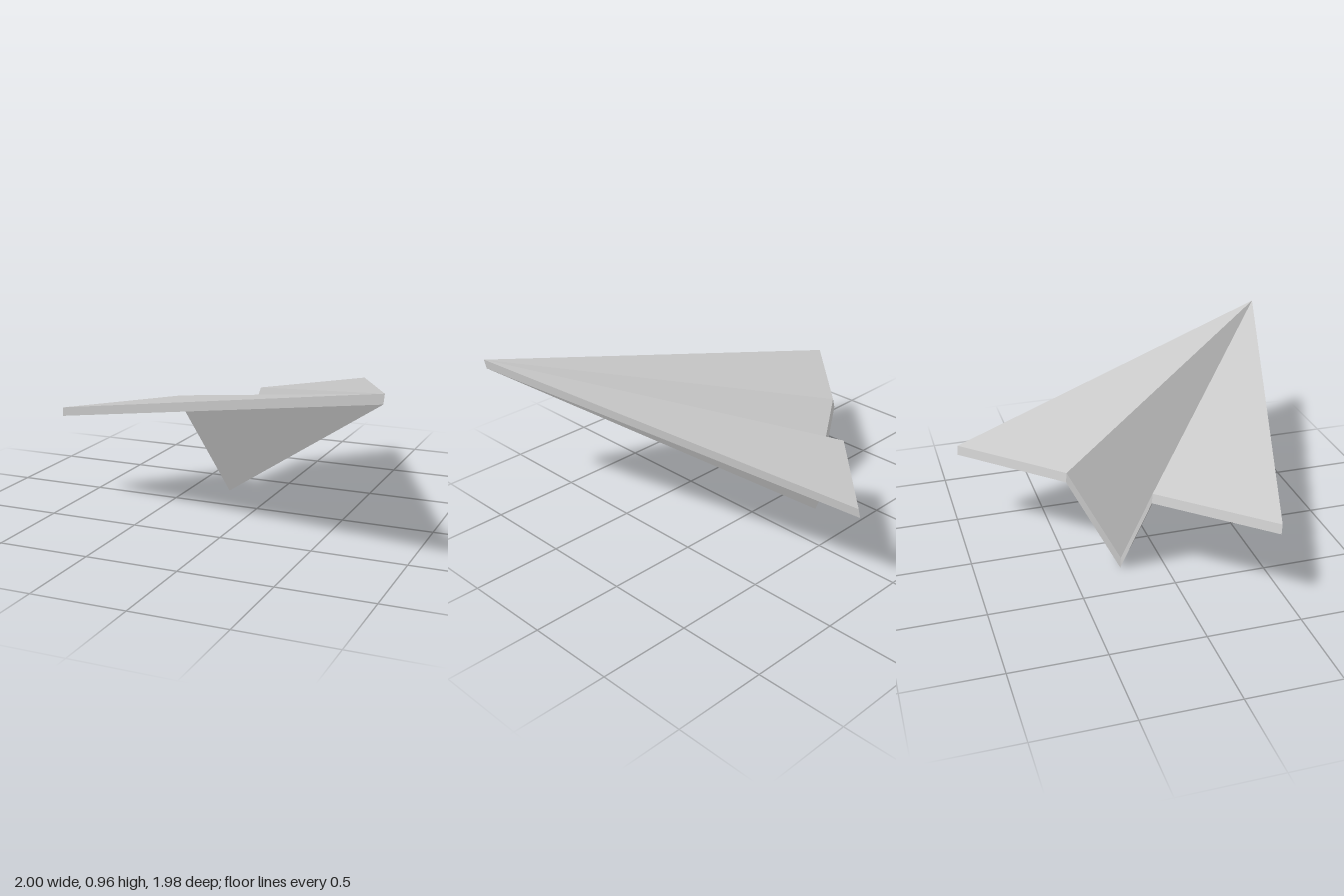
import * as THREE from 'three';

// Folded dart: nose and five rear points, wing tip to wing tip (upper surface)
const NOSE = [1, 0.96, 0.985];
const REAR = [
  [-0.993, 0.57, 0.37],
  [-0.522, 0.57, -0.134],
  [-0.264, 0.055, -0.232],
  [-0.18, 0.57, -0.495],
  [0.302, 0.57, -0.987],
];
const PANELS = ['rightWing', 'rightKeelSide', 'leftKeelSide', 'leftWing'];

// Matching point on the underside
const under = ([x, y, z]) => [x - 0.007, y - 0.05 - (y < 0.1 ? 0.005 : 0), z - 0.006];

// Edge strip between upper and lower surface; l and r as seen from outside
const wall = (l, r) => [under(l), under(r), r, under(l), r, l];

function createPanel(name, a, b, leadingEdge, material) {
  const corners = [
    NOSE, b, a, // upper face
    under(NOSE), under(a), under(b), // lower face
    ...wall(b, a), // trailing edge
    ...(leadingEdge ? wall(...leadingEdge) : []),
  ];
  const geometry = new THREE.BufferGeometry();
  geometry.setAttribute('position', new THREE.Float32BufferAttribute(corners.flat(), 3));
  geometry.computeVertexNormals();
  const mesh = new THREE.Mesh(geometry, material);
  mesh.name = name;
  return mesh;
}

export function createModel() {
  const group = new THREE.Group();
  group.name = 'paperPlane';
  const material = new THREE.MeshStandardMaterial({ color: 0xcccccc, flatShading: true });

  // Only the two wings have an exposed leading edge
  const leading = { 0: [REAR[0], NOSE], 3: [NOSE, REAR[4]] };
  PANELS.forEach((name, i) => {
    group.add(createPanel(name, REAR[i], REAR[i + 1], leading[i], material));
  });
  return group;
}
